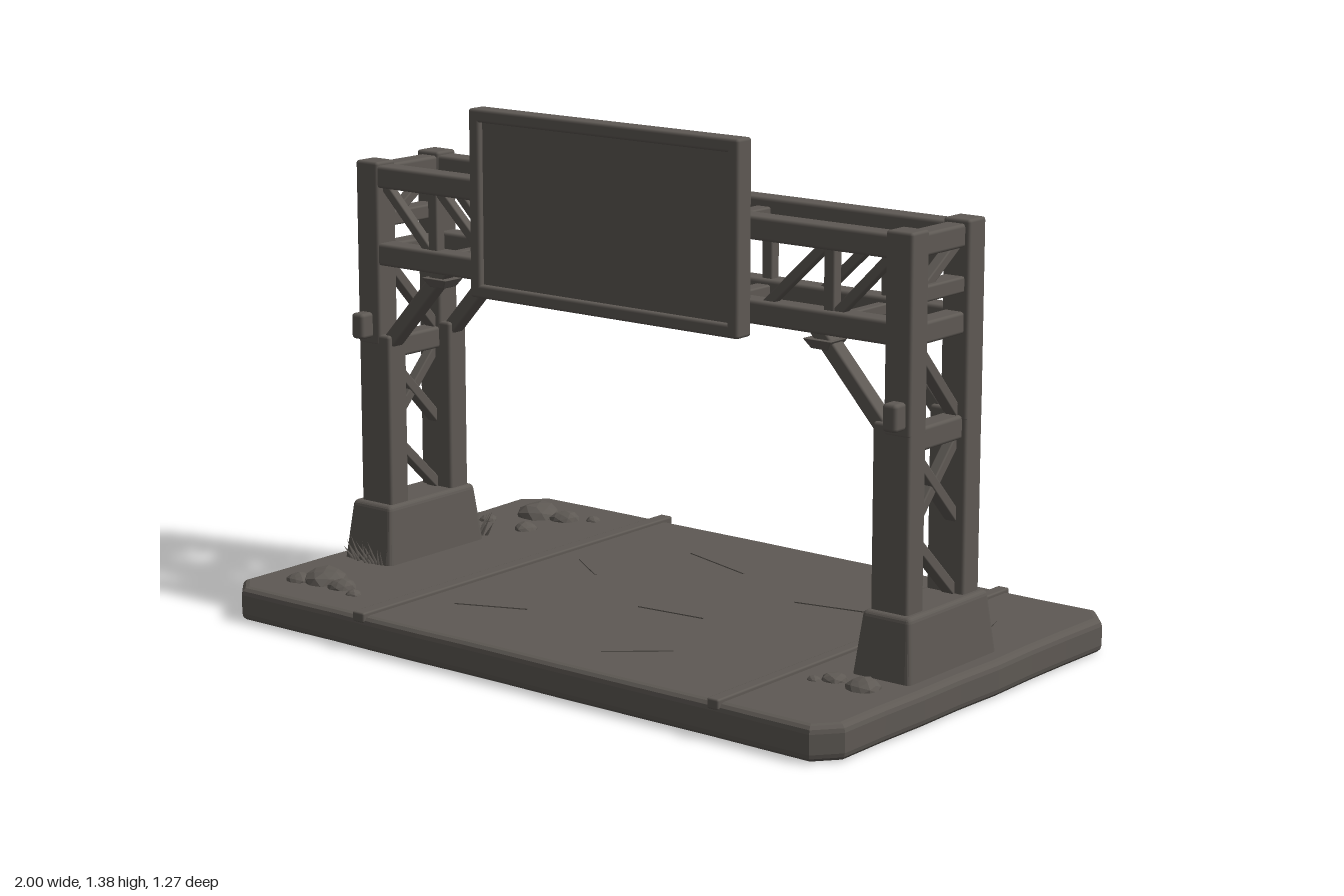
import * as THREE from 'three';
import { RoundedBoxGeometry } from 'three/addons/geometries/RoundedBoxGeometry.js';

export function createModel() {
  const model = new THREE.Group();
  model.name = 'roadSignGantry';
  const stone = new THREE.MeshStandardMaterial({ color: 0x5e5954 });
  stone.name = 'weathered grey';

  let seed = 7;
  const rnd = () => (seed = (seed * 16807) % 2147483647) / 2147483647;
  const UP = new THREE.Vector3(0, 1, 0);

  function add(name, geo, x = 0, y = 0, z = 0) {
    const mesh = new THREE.Mesh(geo, stone);
    mesh.name = name;
    mesh.position.set(x, y, z);
    model.add(mesh);
    return mesh;
  }
  // Softened box given by its limits
  function block(name, x0, x1, y0, y1, z0, z1, r = 0.008) {
    const w = x1 - x0, h = y1 - y0, d = z1 - z0;
    const geo = new RoundedBoxGeometry(w, h, d, 2, Math.min(r, w / 3, h / 3, d / 3));
    return add(name, geo, (x0 + x1) / 2, (y0 + y1) / 2, (z0 + z1) / 2);
  }
  // Square bar between two points
  function bar(name, a, b, w, d = w) {
    const p = new THREE.Vector3(...a), q = new THREE.Vector3(...b);
    const dir = q.clone().sub(p);
    const mesh = add(name, new RoundedBoxGeometry(w, dir.length(), d, 2, Math.min(w, d) * 0.15));
    mesh.position.copy(p).add(q).multiplyScalar(0.5);
    mesh.quaternion.setFromUnitVectors(UP, dir.normalize());
    return mesh;
  }
  // Box whose top is narrower than its bottom
  function tapered(name, w, h, d, topW, topD, x, y, z) {
    const geo = new RoundedBoxGeometry(w, h, d, 2, Math.min(w, h, d) * 0.08);
    const p = geo.attributes.position;
    for (let i = 0; i < p.count; i++) {
      const t = p.getY(i) / h + 0.5;
      p.setX(i, p.getX(i) * (1 + t * (topW / w - 1)));
      p.setZ(i, p.getZ(i) * (1 + t * (topD / d - 1)));
    }
    geo.computeVertexNormals();
    return add(name, geo, x, y, z);
  }

  // Ground slab with a slightly worn outline
  const corners = [[-0.98, -0.55], [-0.93, -0.605], [0.93, -0.605], [0.98, -0.55],
    [0.98, 0.56], [0.93, 0.61], [-0.93, 0.61], [-0.98, 0.56]];
  const outline = [];
  corners.forEach(([x, z], i) => {
    const [x2, z2] = corners[(i + 1) % corners.length];
    const n = Math.max(1, Math.round(Math.hypot(x2 - x, z2 - z) / 0.15));
    for (let k = 0; k < n; k++) {
      const wear = 1 - 0.008 * rnd();
      outline.push(new THREE.Vector2((x + (x2 - x) * k / n) * wear, -(z + (z2 - z) * k / n) * wear));
    }
  });
  const slab = new THREE.ExtrudeGeometry(new THREE.Shape(outline.reverse()), {
    depth: 0.05, bevelEnabled: true, bevelSize: 0.02, bevelThickness: 0.021, bevelSegments: 3,
  });
  slab.rotateX(-Math.PI / 2);
  add('groundSlab', slab, 0, 0.031, 0);

  // Kerb strips and thin road cracks
  block('kerb', -0.53, -0.49, 0.085, 0.112, -0.64, 0.63, 0.005);
  block('kerb', 0.635, 0.67, 0.085, 0.112, -0.62, 0.63, 0.005);
  const cracks = [[-0.3, 0.35, 0.2, 0.4], [-0.1, -0.35, 0.25, -0.3], [0.25, 0.42, 0.18, 0.7],
    [0.4, -0.2, 0.22, 0.2], [-0.35, -0.1, 0.16, -0.6], [0.1, 0.1, 0.2, 0.1]];
  for (const [x, z, len, turn] of cracks) {
    add('roadCrack', new THREE.BoxGeometry(len, 0.004, 0.006), x, 0.103, z).rotation.y = turn;
  }

  const zFront = 0.16, zBack = -0.08;
  for (const s of [-1, 1]) {
    // Footing
    tapered('footing', 0.175, 0.175, 0.385, 0.14, 0.34, s * 0.857, 0.175, 0.042);

    for (const z of [zFront, zBack]) {
      // Posts: wide lower part, slimmer upper part
      const lower = s < 0 ? [-0.908, -0.798] : [0.798, 0.908];
      const upper = s < 0 ? [-0.908, -0.83] : [0.83, 0.908];
      block('lowerPost', ...lower, 0.25, 0.73, z - 0.035, z + 0.035);
      block('upperPost', ...upper, 0.7, 1.2, z - 0.036, z + 0.036);
      // Knee brace and its end plate
      bar('kneeBrace', [s * 0.815, 0.71, z], [s * 0.61, 0.935, z], 0.04, 0.045);
      tapered('bracePlate', 0.05, 0.025, 0.05, 0.085, 0.075, s * 0.63, 0.895, z);
      // Truss web
      bar('trussVertical', [s * 0.65, 0.96, z], [s * 0.65, 1.15, z], 0.032);
      bar('trussDiagonal', [s * 0.835, 1.14, z], [s * 0.665, 0.97, z], 0.026);
      bar('trussDiagonal', [s * 0.635, 1.14, z], [s * 0.45, 0.965, z], 0.026);
      bar('trussVertical', [s * 0.28, 0.96, z], [s * 0.28, 1.15, z], 0.032);
    }

    // Horizontal ties and cross bracing between the posts
    const x = s * 0.865;
    for (const [y, h] of [[0.685, 0.06], [0.945, 0.055], [1.04, 0.04], [1.16, 0.058]]) {
      bar('postTie', [x, y, zBack], [x, y, zFront], 0.06, h);
    }
    const braces = [[0.93, 0.71], [0.66, 0.45], [0.45, 0.26]];
    for (const [yA, yB] of braces) bar('postBrace', [x, yA, 0.14], [x, yB, -0.06], 0.035, 0.028);
    bar('postBrace', [x, 0.45, 0.14], [x, 0.66, -0.06], 0.03, 0.028);
    bar('postBrace', [x, 1.02, 0.14], [x, 1.15, -0.06], 0.03, 0.026);

    // Control box on the front post, bolts on the rear one
    block('controlBox', s * 0.875 - 0.021, s * 0.875 + 0.021, 0.72, 0.79, 0.19, 0.238, 0.01);
    block('rearBolt', x - 0.02, x + 0.02, 1.02, 1.055, -0.13, -0.1);

    // Cross bars joining the two trusses
    bar('trussCrossBar', [s * 0.28, 1.15, zBack], [s * 0.28, 1.15, zFront], 0.045, 0.035);
    bar('trussCrossBar', [s * 0.28, 0.95, zBack], [s * 0.28, 0.95, zFront], 0.045, 0.035);
    bar('trussCrossBar', [s * 0.65, 0.95, zBack], [s * 0.65, 0.95, zFront], 0.03, 0.03);

    // Sign brackets
    for (const y of [0.95, 1.16]) block('signBracket', s * 0.3 - 0.03, s * 0.3 + 0.03, y - 0.025, y + 0.025, 0.17, 0.215);
  }

  // Long chords
  for (const z of [zFront, zBack]) {
    for (const y of [0.95, 1.16]) bar('trussChord', [-0.87, y, z], [0.87, y, z], 0.06, 0.064);
  }

  // Sign board with raised frame
  block('signPanel', -0.42, 0.42, 0.91, 1.37, 0.207, 0.246, 0.004);
  block('signFrame', -0.44, 0.438, 1.352, 1.387, 0.205, 0.262);
  block('signFrame', -0.44, 0.438, 0.893, 0.928, 0.205, 0.262);
  block('signFrame', -0.44, -0.405, 0.893, 1.387, 0.205, 0.262);
  block('signFrame', 0.403, 0.438, 0.893, 1.387, 0.205, 0.262);

  // Rocks
  const rocks = [[-0.82, -0.44, 0.062], [-0.73, -0.45, 0.043], [-0.66, -0.49, 0.022], [-0.75, -0.3, 0.034],
    [-0.9, -0.31, 0.026], [-0.81, 0.44, 0.06], [-0.73, 0.46, 0.04], [-0.87, 0.48, 0.035], [-0.66, 0.49, 0.022],
    [0.865, 0.31, 0.045], [0.77, 0.3, 0.032], [0.73, 0.33, 0.018]];
  for (const [x, z, r] of rocks) {
    const geo = new THREE.IcosahedronGeometry(r, 1);
    const p = geo.attributes.position;
    for (let i = 0; i < p.count; i++) {
      const k = 1 + 0.1 * Math.sin(p.getX(i) / r * 4 + x * 30) * Math.cos(p.getZ(i) / r * 3 + z * 20);
      p.setXYZ(i, p.getX(i) * k, p.getY(i) * k * 0.65, p.getZ(i) * k);
    }
    geo.computeVertexNormals();
    add('rock', geo, x, 0.1, z).rotation.y = x * 9;
  }

  // Grass tufts
  for (const [tx, tz] of [[-0.88, 0.235], [-0.82, 0.235], [-0.82, -0.175], [0.83, -0.175]]) {
    for (let i = 0; i < 7; i++) {
      const h = 0.05 + 0.035 * rnd();
      const geo = new THREE.ConeGeometry(0.006, h, 4);
      geo.translate(0, h / 2, 0);
      const blade = add('grassBlade', geo, tx + (i - 3) * 0.009, 0.097, tz + (rnd() - 0.5) * 0.02);
      blade.rotation.set(Math.sign(tz) * (0.1 + 0.5 * rnd()), 0, (3 - i) * 0.17);
    }
  }
  return model;
}
